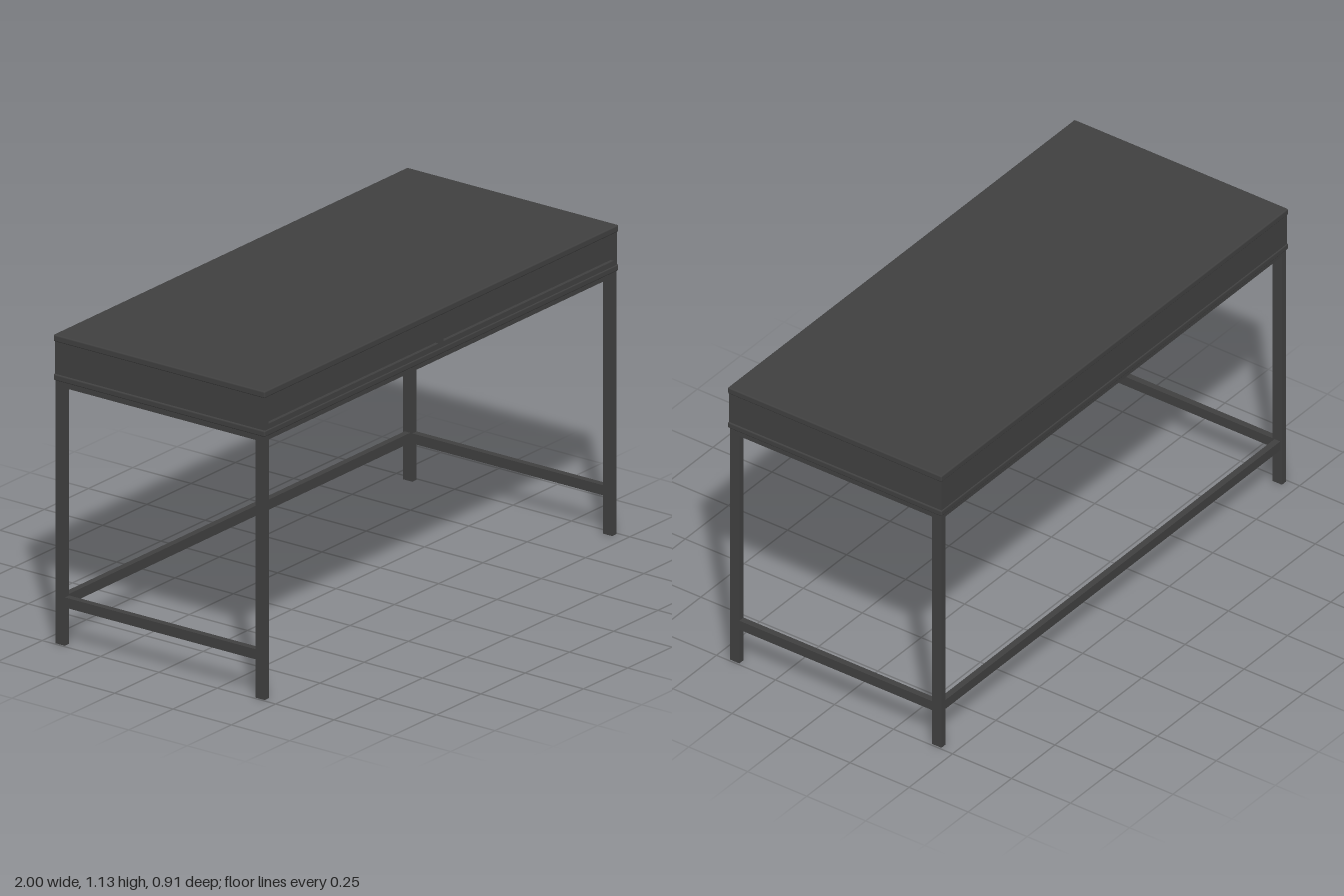
import * as THREE from 'three';
import { RoundedBoxGeometry } from 'three/addons/geometries/RoundedBoxGeometry.js';

export function createModel() {
  const desk = new THREE.Group();
  desk.name = 'desk';
  const dark = new THREE.MeshStandardMaterial({ color: 0x404040 });

  function add(name, geometry, x = 0, y = 0, z = 0) {
    const mesh = new THREE.Mesh(geometry, dark);
    mesh.name = name;
    mesh.position.set(x, y, z);
    desk.add(mesh);
  }
  // Box given by its lower and upper corners; a radius rounds its edges
  function block(name, [x0, y0, z0], [x1, y1, z1], radius = 0) {
    const size = [x1 - x0, y1 - y0, z1 - z0];
    const geometry = radius
      ? new RoundedBoxGeometry(...size, 3, radius)
      : new THREE.BoxGeometry(...size);
    add(name, geometry, (x0 + x1) / 2, (y0 + y1) / 2, (z0 + z1) / 2);
  }
  function rect(path, x0, y0, x1, y1) {
    path.moveTo(x0, y0);
    path.lineTo(x1, y0);
    path.lineTo(x1, y1);
    path.lineTo(x0, y1);
    path.closePath();
    return path;
  }

  // Top board and the matching trim board under the drawer case
  block('tabletop', [-1, 1.105, -0.453], [1, 1.13, 0.453], 0.005);
  block('lowerTrim', [-1, 0.963, -0.453], [1, 0.986, 0.453], 0.005);

  // Drawer case, open at the front behind the face frame
  block('caseBack', [-0.995, 0.98, -0.45], [0.995, 1.11, -0.43]);
  for (const s of [-1, 1])
    block('caseSide', [s * 0.985 - 0.01, 0.98, -0.43], [s * 0.985 + 0.01, 1.11, 0.435]);

  // Face frame with two openings
  const openings = [[-0.975, -0.014], [0.014, 0.975]];
  const face = rect(new THREE.Shape(), -0.995, 0.98, 0.995, 1.11);
  for (const [a, b] of openings) face.holes.push(rect(new THREE.Path(), a, 1.005, b, 1.092));
  add('faceFrame', new THREE.ExtrudeGeometry(face, { depth: 0.015, bevelEnabled: false }), 0, 0, 0.435);

  // Drawer fronts, set slightly back with a thin gap all round
  for (const [a, b] of openings)
    block('drawerFront', [a + 0.004, 1.009, 0.425], [b - 0.004, 1.088, 0.443]);

  // Flat underside between the legs
  block('undersidePanel', [-0.97, 0.945, -0.447], [0.97, 0.965, 0.447]);

  // Two side frames: legs, top rail and stretcher
  for (const s of [-1, 1]) {
    const x0 = s * 0.981 - 0.012;
    const x1 = s * 0.981 + 0.012;
    for (const t of [-1, 1])
      block('leg', [x0, 0, t * 0.428 - 0.02], [x1, 0.965, t * 0.428 + 0.02]);
    block('sideRail', [x0, 0.942, -0.408], [x1, 0.965, 0.408]);
    block('sideStretcher', [x0, 0.14, -0.408], [x1, 0.177, 0.408]);
  }

  // Long stretcher between the back legs
  block('backStretcher', [-0.969, 0.14, -0.441], [0.969, 0.177, -0.417]);
  return desk;
}
